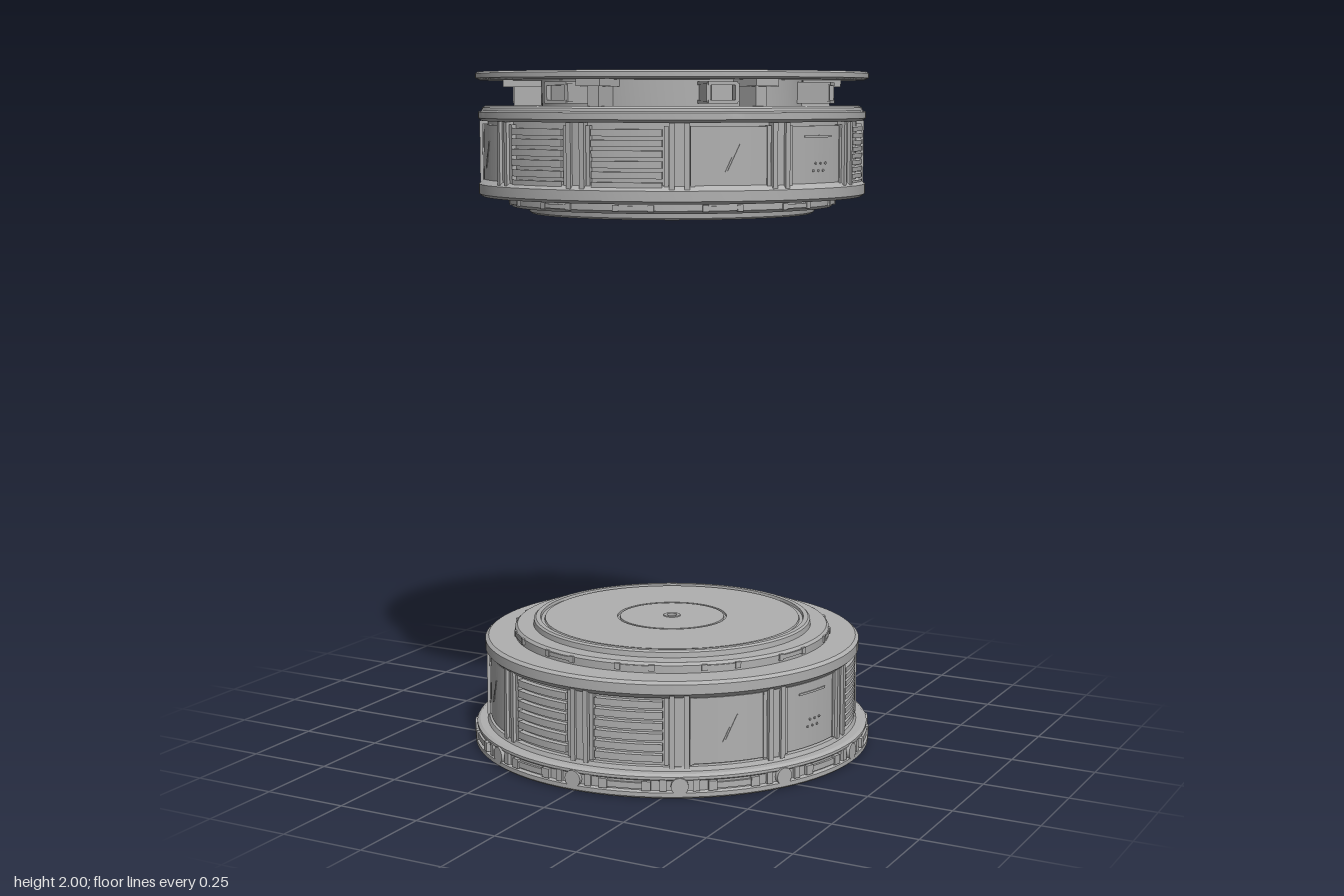
import * as THREE from 'three';
import { toCreasedNormals } from 'three/addons/utils/BufferGeometryUtils.js';

const grey = new THREE.MeshStandardMaterial({ color: 0xb0b0b0 });
grey.name = 'plain grey';
const rad = THREE.MathUtils.degToRad;

// Turned solid from a closed profile of [radius, height], counterclockwise
function turned(name, profile, y = 0, flip = false) {
  let pts = profile.map(([r, h]) => new THREE.Vector2(r, y + (flip ? -h : h)));
  if (flip) pts.reverse();
  pts.push(pts[0].clone());
  const mesh = new THREE.Mesh(toCreasedNormals(new THREE.LatheGeometry(pts, 96), 0.5), grey);
  mesh.name = name;
  return mesh;
}

// Curved block hugging the drum, centred on an azimuth (degrees from +z towards +x)
function arcBlock(name, azimuth, half, r0, r1, y0, y1, segments = 6) {
  const a = -Math.PI / 2, h = rad(half), shape = new THREE.Shape();
  shape.absarc(0, 0, r1, a - h, a + h, false);
  shape.absarc(0, 0, r0, a + h, a - h, true);
  const geo = new THREE.ExtrudeGeometry(shape, { depth: y1 - y0, bevelEnabled: false, curveSegments: segments });
  geo.rotateX(-Math.PI / 2);
  const mesh = new THREE.Mesh(geo, grey);
  mesh.name = name;
  mesh.position.y = y0;
  mesh.rotation.y = rad(azimuth);
  return mesh;
}

// Small box standing at a radius, facing outwards, optionally tilted
function block(name, azimuth, r, y, w, h, d, tilt = 0) {
  const mesh = new THREE.Mesh(new THREE.BoxGeometry(w, h, d), grey);
  const a = rad(azimuth);
  mesh.name = name;
  mesh.position.set(r * Math.sin(a), y, r * Math.cos(a));
  mesh.rotation.set(0, a, tilt, 'YXZ');
  return mesh;
}

// Stud with its axis pointing outwards
function stud(name, azimuth, r, y, radius, depth) {
  const geo = new THREE.CylinderGeometry(radius, radius, depth, 12).rotateX(Math.PI / 2);
  const mesh = new THREE.Mesh(geo, grey);
  const a = rad(azimuth);
  mesh.name = name;
  mesh.position.set(r * Math.sin(a), y, r * Math.cos(a));
  mesh.rotation.y = a;
  return mesh;
}

const panelKinds = ['louvre', 'glass', 'dots', 'fine', 'louvre', 'glass',
  'louvre', 'glass', 'louvre', 'dots', 'glass', 'louvre'];

// Twelve bays: twin-rib pillars with louvres, glass or control panels between
function panelRing(y0, y1) {
  const g = new THREE.Group();
  g.name = 'panelRing';
  const mid = (y0 + y1) / 2, height = y1 - y0;
  panelKinds.forEach((kind, i) => {
    const pillar = i * 30, az = pillar + 15;
    g.add(arcBlock('pillar', pillar, 2.6, 0.53, 0.552, y0, y1, 2));
    for (const s of [-1, 1]) {
      g.add(arcBlock('pillarRib', pillar + s * 2.1, 0.75, 0.53, 0.561, y0, y1, 1));
      g.add(arcBlock('panelSide', az + s * 11.3, 0.6, 0.53, 0.553, y0 + 0.008, y1 - 0.008, 1));
    }
    if (kind === 'louvre' || kind === 'fine') {
      const count = kind === 'fine' ? 9 : 6, pitch = (height - 0.025) / count;
      for (let k = 0; k < count; k++) {
        const y = y0 + 0.0125 + (k + 0.5) * pitch;
        g.add(arcBlock('slat', az, 10.2, 0.53, 0.556, y - pitch * 0.33, y + pitch * 0.33));
      }
    } else {
      g.add(arcBlock('panel', az, 11.2, 0.53, 0.55, y0 + 0.01, y1 - 0.01));
      if (kind === 'glass') {
        g.add(block('glint', az + 0.6, 0.55, mid + 0.005, 0.003, 0.08, 0.004, -0.45));
        g.add(block('glint', az - 1, 0.55, mid - 0.015, 0.003, 0.045, 0.004, -0.45));
      } else {
        g.add(arcBlock('panelHandle', az, 6, 0.545, 0.553, y1 - 0.042, y1 - 0.036));
        for (let k = 0; k < 6; k++) {
          const row = Math.floor(k / 3);
          g.add(stud('button', az + ((k % 3) - 1) * 2.2 + row, 0.55, mid - 0.035 + row * 0.02, 0.0035, 0.006));
        }
      }
    }
  });
  return g;
}

// Stepped cap on the facing ends of the drums, heights measured from the lip
const cap = [[0.015, -0.05], [0.55, -0.05], [0.565, -0.036], [0.565, -0.008], [0.555, 0], [0.475, 0],
  [0.475, 0.022], [0.468, 0.03], [0.42, 0.03], [0.418, 0.045], [0.412, 0.05], [0.398, 0.05],
  [0.396, 0.042], [0.386, 0.042], [0.384, 0.047], [0.165, 0.047], [0.164, 0.042], [0.158, 0.042],
  [0.157, 0.047], [0.026, 0.047], [0.025, 0.05], [0.015, 0.05]];

// Low lugs around the step of a cap
function capLugs(g, y) {
  for (let i = 0; i < 12; i++) {
    const az = 15 + i * 30;
    g.add(arcBlock('capLug', az, 6.5, 0.46, 0.478, y - 0.006, y + 0.006));
    for (const s of [-1, 1]) g.add(arcBlock('capLugEnd', az + s * 6, 1, 0.46, 0.48, y - 0.009, y + 0.009, 2));
  }
}

function lowerDrum() {
  const g = new THREE.Group();
  g.name = 'lowerDrum';
  g.add(turned('base', [[0.015, 0], [0.59, 0], [0.597, 0.006], [0.597, 0.018], [0.587, 0.022],
    [0.587, 0.05], [0.592, 0.054], [0.592, 0.062], [0.583, 0.068], [0.56, 0.068], [0.555, 0.08], [0.015, 0.08]]));
  g.add(turned('wall', [[0.015, 0.07], [0.538, 0.07], [0.538, 0.3], [0.015, 0.3]]));
  g.add(turned('cap', cap, 0.326));
  g.add(panelRing(0.075, 0.285));
  capLugs(g, 0.341);
  // Base trim: round bolts under the pillars and lugs between them
  for (let i = 0; i < 12; i++) {
    g.add(stud('baseBolt', i * 30, 0.588, 0.036, 0.025, 0.02));
    g.add(arcBlock('baseLug', i * 30 + 15, 6.5, 0.575, 0.594, 0.027, 0.044));
    for (const s of [-1, 1]) {
      g.add(arcBlock('baseLugEnd', i * 30 + 15 + s * 6, 1.2, 0.575, 0.598, 0.023, 0.05, 2));
      g.add(arcBlock('baseClip', i * 30 + s * 4.5, 0.9, 0.575, 0.596, 0.022, 0.055, 2));
    }
  }
  return g;
}

function upperDrum() {
  const g = new THREE.Group();
  g.name = 'upperDrum';
  g.add(turned('cap', cap, 1.643, true));
  g.add(turned('wall', [[0.015, 1.65], [0.538, 1.65], [0.538, 1.88], [0.015, 1.88]]));
  g.add(turned('topLip', [[0.015, 1.86], [0.555, 1.86], [0.565, 1.868], [0.565, 1.886], [0.555, 1.89],
    [0.553, 1.898], [0.545, 1.903], [0.015, 1.903]]));
  g.add(turned('neck', [[0.015, 1.9], [0.38, 1.9], [0.38, 1.98], [0.015, 1.98]]));
  g.add(turned('topPlate', [[0.015, 1.976], [0.56, 1.976], [0.572, 1.982], [0.572, 1.995], [0.566, 2],
    [0.026, 2], [0.025, 1.997], [0.015, 1.997]]));
  g.add(panelRing(1.665, 1.86));
  capLugs(g, 1.628);
  // Framed brackets and posts carrying the top plate
  for (let i = 0; i < 6; i++) {
    const az = i * 60 - 15;
    g.add(block('bracketCore', az, 0.42, 1.94, 0.06, 0.05, 0.08));
    for (const s of [-1, 1]) {
      g.add(block('bracketRail', az, 0.425, 1.94 + s * 0.025, 0.085, 0.01, 0.095));
      g.add(block('bracketSide', az + s * 5, 0.425, 1.94, 0.012, 0.05, 0.095));
    }
    g.add(block('post', i * 60, 0.42, 1.938, 0.035, 0.08, 0.08));
    g.add(block('postHead', i * 60, 0.435, 1.967, 0.075, 0.02, 0.11));
  }
  return g;
}

export function createModel() {
  const model = new THREE.Group();
  model.name = 'drumPair';
  model.add(lowerDrum(), upperDrum());
  return model;
}
